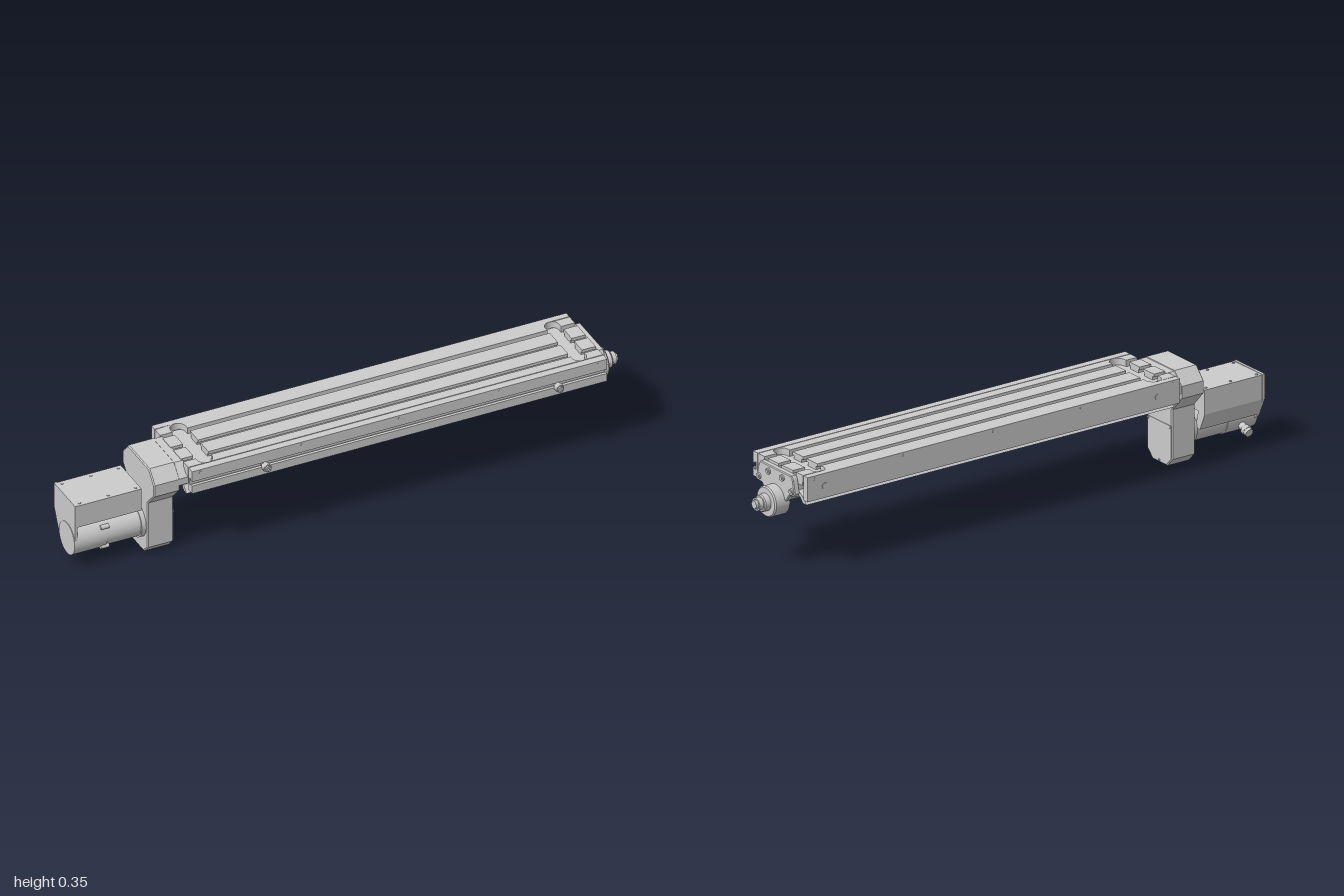
import * as THREE from 'three';

const AXIS_Y = 0.233, AXIS_Z = -0.021;   // drive shaft axis, also the symmetry line of the body
const mat = new THREE.MeshStandardMaterial({ color: 0xcccccc, flatShading: false });

export function createModel() {
  const root = new THREE.Group();

  const add = (name, geo, parent = root) => {
    const m = new THREE.Mesh(geo, mat);
    m.name = name;
    parent.add(m);
    return m;
  };
  // box given by its extents
  const box = (name, x0, x1, y0, y1, z0, z1, parent) => {
    const m = add(name, new THREE.BoxGeometry(x1 - x0, y1 - y0, z1 - z0), parent);
    m.position.set((x0 + x1) / 2, (y0 + y1) / 2, (z0 + z1) / 2);
    return m;
  };
  // [z, y] cross-section swept along x
  const sweep = (name, pts, x0, x1, bevel = 0) => {
    const s = new THREE.Shape(pts.map(([z, y]) => new THREE.Vector2(-z, y)));
    const g = new THREE.ExtrudeGeometry(s, {
      depth: x1 - x0 - 2 * bevel, bevelEnabled: bevel > 0, bevelSize: bevel,
      bevelThickness: bevel, bevelOffset: -bevel, bevelSegments: 1,
    });
    g.rotateY(Math.PI / 2).translate(x0 + bevel, 0, 0);
    return add(name, g);
  };
  // cylinder lying along x
  const rod = (name, r, x0, x1, y, z, sides = 40) => {
    const g = new THREE.CylinderGeometry(r, r, x1 - x0, sides).rotateZ(Math.PI / 2);
    const m = add(name, g);
    m.position.set((x0 + x1) / 2, y, z);
    return m;
  };
  // half outline (offset from symmetry line, y) from bottom to top, mirrored
  const mirrored = (half) => [
    ...half.map(([d, y]) => [AXIS_Z + d, y]),
    ...half.slice().reverse().map(([d, y]) => [AXIS_Z - d, y]),
  ];

  // ---- table bed ----
  const X0 = -0.62, X1 = 0.89, TOP = 0.349, FLOOR = 0.326;
  const pockets = [[-0.575, -0.52], [0.79, 0.84]];
  box('bedBase', X0, X1, 0.312, FLOOR, -0.14, 0.105);

  // inner strips between the T-slots, broken by the two cross pockets
  const spans = [[X0, -0.575], [-0.52, 0.79], [0.84, X1]];
  for (const [z0, z1] of [[-0.086, -0.025], [-0.007, 0.051]])
    for (const [a, b] of spans) {
      box('bedStrip', a, b, FLOOR, 0.338, z0 + 0.008, z1 - 0.008);
      box('bedStripTop', a, b, 0.338, TOP, z0, z1);
    }

  // outer strips with rounded pocket ends
  const outerStrip = (name, inner, outer, pocketEnd) => {
    const s = new THREE.Shape();
    const dir = Math.sign(outer - inner);
    s.moveTo(X0, inner);
    for (const [a, b] of pockets) {
      const r = (b - a) / 2, zc = pocketEnd - dir * r;
      s.lineTo(a, inner);
      for (let i = 0; i <= 12; i++) {
        const t = Math.PI * i / 12;
        s.lineTo(a + r - r * Math.cos(t), zc + dir * r * Math.sin(t));
      }
      s.lineTo(b, inner);
    }
    s.lineTo(X1, inner);
    s.lineTo(X1, outer);
    s.lineTo(X0, outer);
    const g = new THREE.ExtrudeGeometry(s, { depth: TOP - FLOOR, bevelEnabled: false });
    g.rotateX(Math.PI / 2).translate(0, TOP, 0);
    add(name, g);
  };
  outerStrip('frontOuterStrip', 0.069, 0.105, 0.105);
  outerStrip('backOuterStrip', -0.104, -0.142, -0.145);

  // ---- side rails ----
  sweep('frontRail', [
    [0.108, 0.263], [0.135, 0.263], [0.135, 0.293], [0.124, 0.293], [0.124, 0.288], [0.116, 0.288],
    [0.116, 0.314], [0.124, 0.314], [0.124, 0.309], [0.135, 0.309], [0.135, TOP], [0.108, TOP],
  ], X0, X1);
  box('backRail', X0, X1, 0.263, TOP, -0.168, -0.145);
  for (const x of [-0.59, -0.22, 0.135, 0.5, 0.86])
    for (const z of [0.135, -0.168]) {
      const g = new THREE.CylinderGeometry(0.005, 0.005, 0.002, 16).rotateX(Math.PI / 2);
      add('railScrew', g).position.set(x, 0.338, z);
    }
  for (const x of [-0.53, 0.82])
    add('backRailBolt', new THREE.CylinderGeometry(0.011, 0.011, 0.003, 20).rotateX(Math.PI / 2))
      .position.set(x, 0.305, -0.169);

  // underside webs with inclined lips
  for (const s of [1, -1])
    sweep(s > 0 ? 'frontWeb' : 'backWeb', [
      [0.066, 0.312], [0.066, 0.276], [0.092, 0.262], [0.114, 0.238], [0.094, 0.238],
      [0.076, 0.257], [0.056, 0.268], [0.056, 0.312],
    ].map(([d, y]) => [AXIS_Z + s * d, y]), X0, 0.87);
  rod('driveShaft', 0.014, -0.65, 0.9, AXIS_Y, AXIS_Z, 24);

  // ---- clamp connectors on the front rail ----
  for (const x of [-0.355, 0.71]) {
    const g = new THREE.Group();
    g.name = 'frontConnector';
    for (const [r, z0, z1, n] of [[0.009, 0.118, 0.137, 16], [0.015, 0.135, 0.156, 6], [0.01, 0.156, 0.162, 20], [0.004, 0.162, 0.169, 12]])
      add('connectorStep', new THREE.CylinderGeometry(r, r, z1 - z0, n).rotateX(Math.PI / 2), g)
        .position.set(x, 0.297, (z0 + z1) / 2);
    root.add(g);
  }

  // ---- right end bearing ----
  sweep('endPlate', mirrored([
    [0.03, 0.222], [0.062, 0.25], [0.076, 0.268], [0.1, 0.27], [0.106, 0.282], [0.094, 0.33], [0.086, 0.341],
  ]), X1, 0.912, 0.003);
  for (const d of [-1, 1])
    for (const [o, y] of [[0.038, 0.32], [0.09, 0.287]]) {
      rod('endPlateBolt', 0.011, 0.91, 0.918, y, AXIS_Z + d * o, 20);
      rod('boltSocket', 0.006, 0.917, 0.92, y, AXIS_Z + d * o, 6);
    }
  const steps = [[0, 0.888], [0.048, 0.888], [0.053, 0.893], [0.053, 0.947], [0.049, 0.952], [0.03, 0.952],
    [0.03, 0.972], [0.027, 0.976], [0.022, 0.976], [0.022, 0.992], [0.017, 0.992], [0.017, 0.988], [0, 0.988]];
  // doubled points keep the shoulders crisp
  const crisp = steps.flatMap(([r, x]) => [new THREE.Vector2(r, x), new THREE.Vector2(r, x + 1e-5)]);
  add('bearingHousing', new THREE.LatheGeometry(crisp, 48).rotateZ(-Math.PI / 2))
    .position.set(0, AXIS_Y, AXIS_Z);
  rod('shaftEnd', 0.015, 0.95, 1.0, AXIS_Y, AXIS_Z, 6);

  // ---- belt drive case at the left end ----
  sweep('driveCase', mirrored([
    [0.04, 0.003], [0.068, 0.033], [0.068, 0.208], [0.118, 0.262], [0.118, 0.305], [0.078, TOP],
  ]), -0.74, -0.645, 0.004);
  sweep('caseAdapter', mirrored([[0.1, 0.266], [0.117, 0.28], [0.117, 0.305], [0.078, 0.347]]), -0.65, -0.615);
  rod('caseBearing', 0.035, -0.65, -0.612, AXIS_Y, AXIS_Z);
  rod('caseBearingCap', 0.024, -0.615, -0.595, AXIS_Y, AXIS_Z);
  box('caseCover', -0.646, -0.643, 0.036, 0.15, AXIS_Z - 0.065, AXIS_Z + 0.065);
  for (const [d, y] of [[-0.059, 0.144], [0.059, 0.144], [0, 0.012]])
    rod('coverScrew', 0.004, -0.646, -0.641, y, AXIS_Z + d, 12);

  // ---- motor ----
  const MY = 0.108;
  rod('motorBody', 0.055, -0.99, -0.735, MY, AXIS_Z, 48);
  rod('motorRearHousing', 0.058, -1.0, -0.88, MY, AXIS_Z, 48);
  rod('motorFlange', 0.06, -0.756, -0.738, MY, AXIS_Z, 48);
  for (const y of [0.07, 0.145])
    rod('motorBolt', 0.008, -0.9, -0.87, y, 0.024, 12);

  // terminal box above the motor with its sloping rear leg
  sweep('terminalBox', [
    [0.035, 0.178], [0.035, 0.262], [-0.121, 0.262], [-0.121, 0.176], [-0.094, 0.115],
    [-0.07, 0.115], [-0.085, 0.178],
  ], -0.99, -0.755);
  sweep('terminalBoxEnd', [
    [0.036, 0.264], [-0.122, 0.264], [-0.122, 0.176], [-0.092, 0.112], [-0.06, 0.075],
    [-0.02, 0.055], [0.02, 0.075], [0.034, 0.115],
  ], -0.998, -0.988);
  for (const x of [-0.975, -0.87, -0.77])
    for (const z of [-0.107, 0.021])
      add('lidScrew', new THREE.CylinderGeometry(0.005, 0.005, 0.003, 12)).position.set(x, 0.263, z);

  // cable gland leaning out of the motor's back
  const gland = new THREE.Group();
  gland.name = 'cableGland';
  for (const [r, a, b, n] of [[0.013, -0.04, 0.0, 20], [0.018, 0, 0.016, 6], [0.015, 0.016, 0.027, 20]])
    add('glandStep', new THREE.CylinderGeometry(r, r, b - a, n), gland).position.y = (a + b) / 2;
  gland.position.set(-0.94, 0.076, -0.09);
  gland.rotation.x = -Math.PI / 2 - 0.35;
  root.add(gland);

  return root;
}
